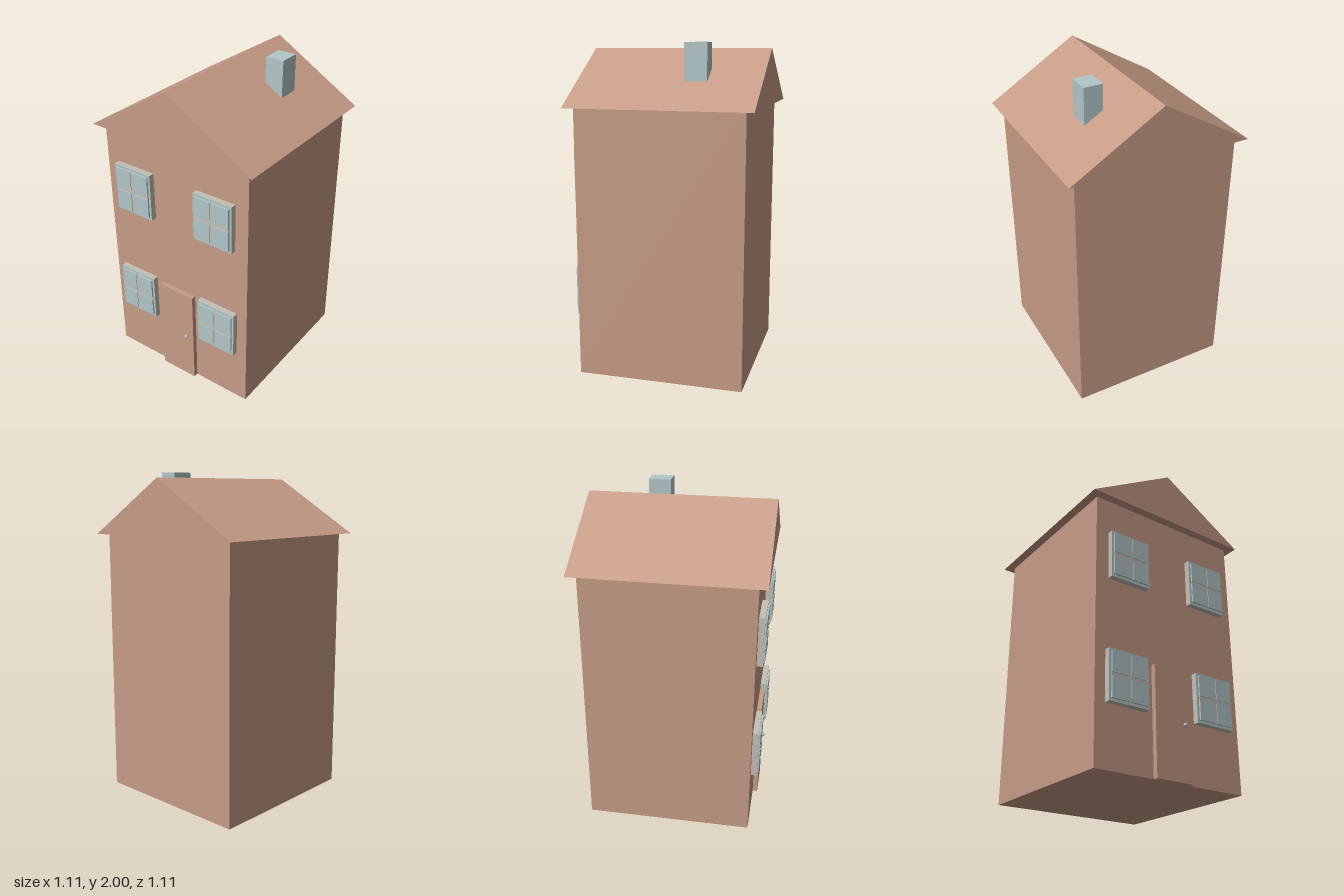
import * as THREE from 'three';

export function createModel() {
  const house = new THREE.Group();
  house.name = 'house';

  const brick = new THREE.MeshStandardMaterial({ color: 0xc69c86 });
  brick.name = 'brick';
  const glass = new THREE.MeshStandardMaterial({ color: 0xb2c6c9 });
  glass.name = 'paleBlue';
  const trim = new THREE.MeshStandardMaterial({ color: 0xc6bfb3 });
  trim.name = 'trim';

  // Box given by its lower and upper limits on each axis
  function box(parent, name, material, [x0, x1], [y0, y1], [z0, z1]) {
    const mesh = new THREE.Mesh(new THREE.BoxGeometry(x1 - x0, y1 - y0, z1 - z0), material);
    mesh.position.set((x0 + x1) / 2, (y0 + y1) / 2, (z0 + z1) / 2);
    mesh.name = name;
    parent.add(mesh);
    return mesh;
  }

  // Walls
  box(house, 'walls', brick, [-0.505, 0.505], [0, 1.63], [-0.505, 0.505]);

  // Gabled roof with a small overhang
  const gable = new THREE.Shape([
    new THREE.Vector2(-0.557, 1.63),
    new THREE.Vector2(0.557, 1.63),
    new THREE.Vector2(0, 1.965),
  ]);
  const roof = new THREE.Mesh(
    new THREE.ExtrudeGeometry(gable, { depth: 1.114, bevelEnabled: false }), brick);
  roof.position.z = -0.557;
  roof.name = 'roof';
  house.add(roof);

  // Chimney
  box(house, 'chimney', glass, [0.195, 0.31], [1.7, 2], [-0.238, -0.103]);

  // Door and knob
  box(house, 'door', brick, [-0.126, 0.124], [0, 0.645], [0.505, 0.535]);
  const knob = new THREE.Mesh(new THREE.SphereGeometry(0.012, 16, 12), glass);
  knob.position.set(0.074, 0.325, 0.544);
  knob.name = 'doorKnob';
  house.add(knob);

  // Windows: casing, glazed front, four raised panes and a cross of bars
  const w = 0.1325, h = 0.151;
  function addWindow(x, y) {
    const win = new THREE.Group();
    win.name = 'window';
    win.position.set(x, y, 0);
    box(win, 'casing', trim, [-w, w], [-h, h], [0.505, 0.539]);
    box(win, 'glazing', glass, [-w, w], [-h, h], [0.539, 0.541]);
    for (const sx of [-1, 1]) {
      for (const sy of [-1, 1]) {
        const pane = box(win, 'pane', glass, [0.01, 0.118], [0.01, 0.134], [0.541, 0.551]);
        pane.position.x *= sx;
        pane.position.y *= sy;
      }
    }
    box(win, 'uprightBar', trim, [-0.01, 0.01], [-0.134, 0.134], [0.541, 0.547]);
    box(win, 'crossBar', trim, [-0.118, 0.118], [-0.01, 0.01], [0.541, 0.5465]);
    house.add(win);
  }
  for (const [x, y] of [[-0.289, 1.256], [0.287, 1.256], [-0.306, 0.51], [0.303, 0.51]]) {
    addWindow(x, y);
  }

  return house;
}
